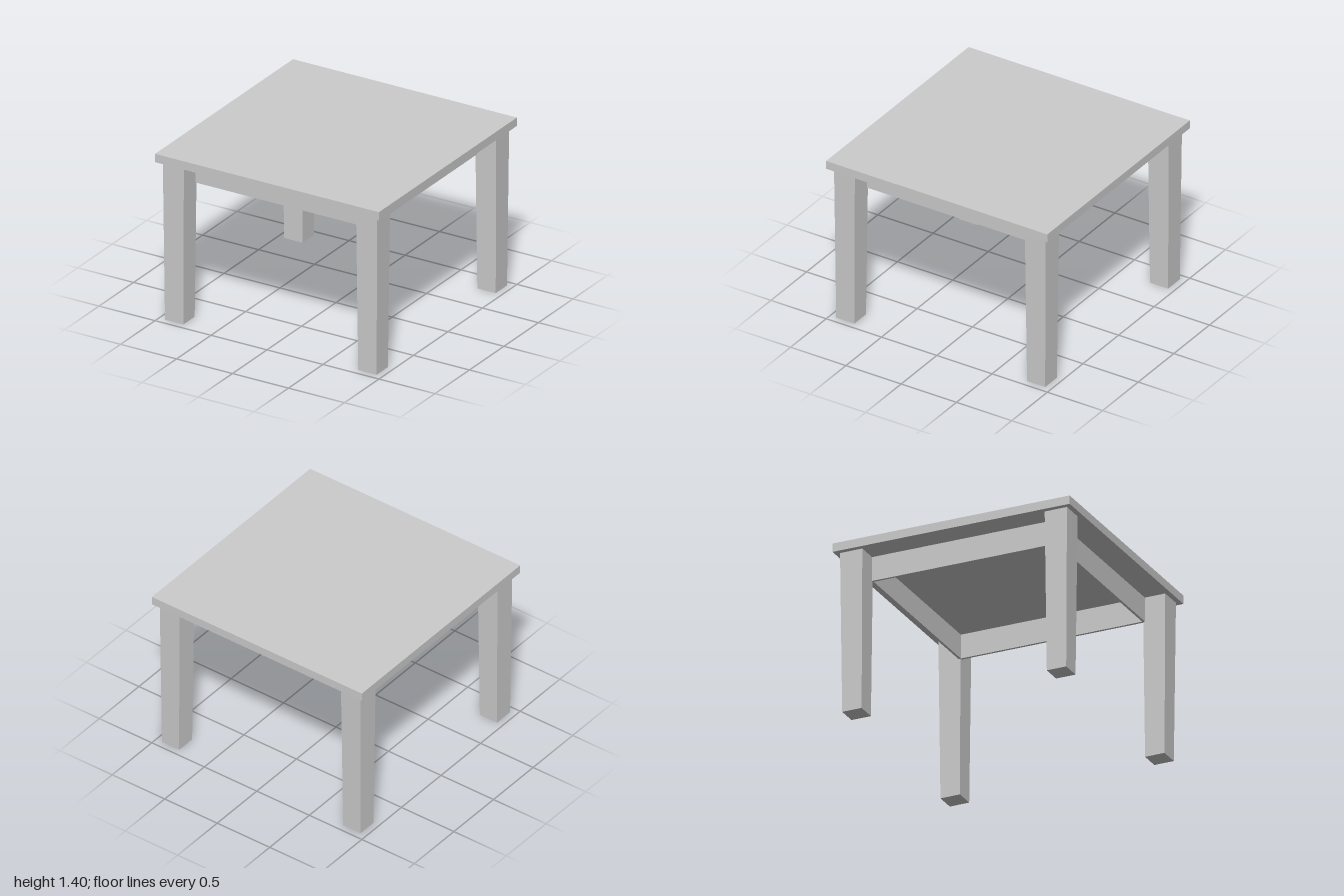
import * as THREE from 'three';

const TOP_Y = 1.4;      // table height
const UNDER_Y = 1.33;   // underside of the top
const LEG = 0.863;      // leg centre offset from the middle
const APRON = 0.775;    // apron centre offset from the middle

export function createModel() {
  const table = new THREE.Group();
  table.name = 'table';
  const material = new THREE.MeshStandardMaterial({ color: 0xcccccc, flatShading: true });

  const add = (name, geometry, x, y, z) => {
    const mesh = new THREE.Mesh(geometry, material);
    mesh.name = name;
    mesh.position.set(x, y, z);
    table.add(mesh);
    return mesh;
  };

  // Square slab top
  add('tabletop', new THREE.BoxGeometry(2, TOP_Y - UNDER_Y, 2), 0, (TOP_Y + UNDER_Y) / 2, 0);

  // Four square legs, narrowing slightly to the floor
  const legGeometry = new THREE.CylinderGeometry(0.094 * Math.SQRT2, 0.082 * Math.SQRT2, UNDER_Y, 4);
  legGeometry.rotateY(Math.PI / 4);
  for (const [z, end] of [[LEG, 'front'], [-LEG, 'back']]) {
    add(end + 'LeftLeg', legGeometry, LEG, UNDER_Y / 2, z);
    add(end + 'RightLeg', legGeometry, -LEG, UNDER_Y / 2, z);
  }

  // Thin apron boards joining the inner corners of the legs
  const apronGeometry = new THREE.BoxGeometry(2 * APRON + 0.02, 0.2, 0.02);
  ['frontApron', 'leftApron', 'backApron', 'rightApron'].forEach((name, i) => {
    const angle = (i * Math.PI) / 2;
    const board = add(name, apronGeometry, Math.sin(angle) * APRON, UNDER_Y - 0.1, Math.cos(angle) * APRON);
    board.rotation.y = angle;
  });

  return table;
}
